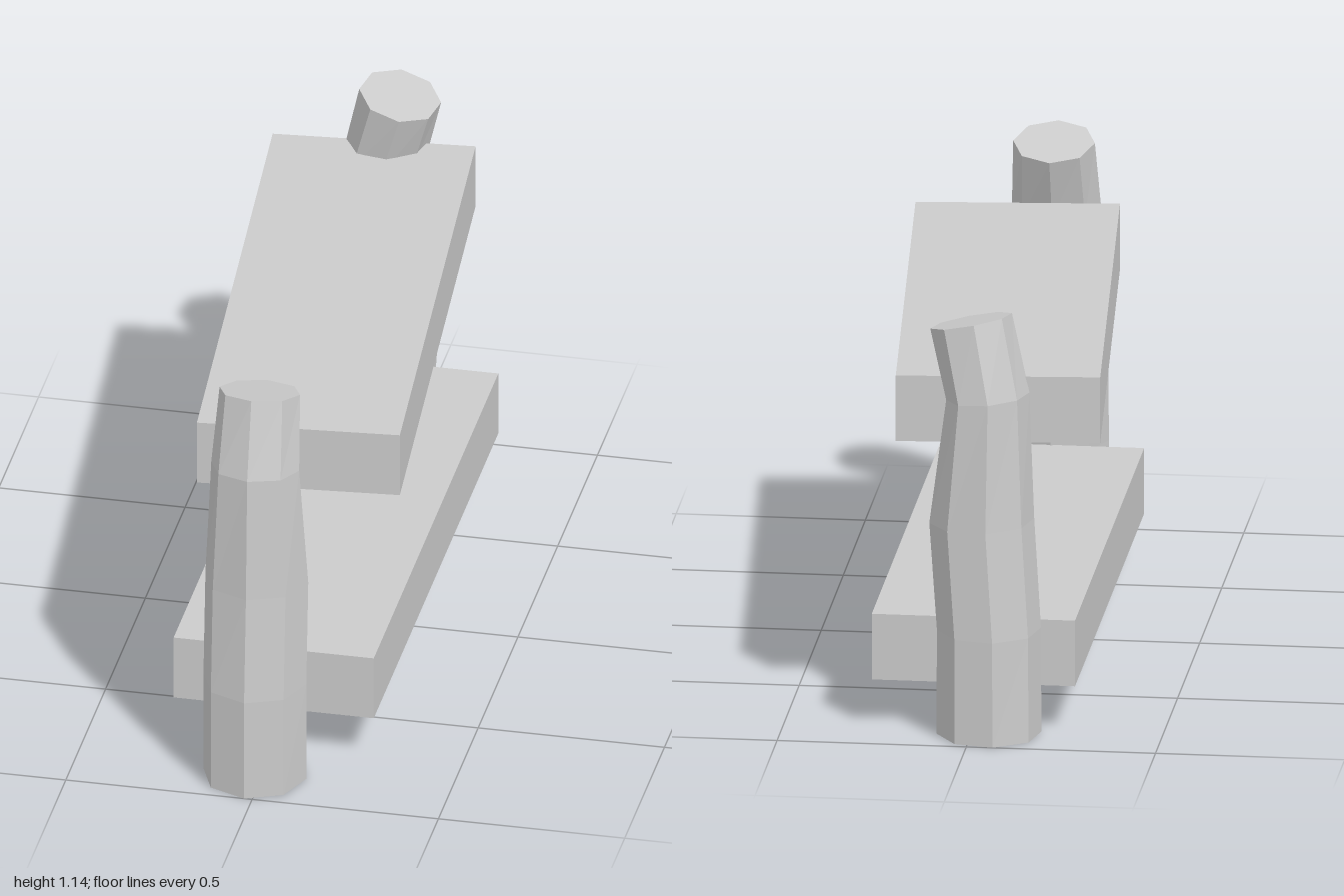
import * as THREE from 'three';

const SIDES = 8;

// Cross-sections of the bent post, bottom to top: height, z shift, x radius, z radius, slope
const RINGS = [
  [0, 0, 0.138, 0.138, 0],
  [0.285, 0, 0.138, 0.136, 0],
  [0.577, -0.025, 0.138, 0.138, 0.04],
  [0.922, -0.004, 0.118, 0.102, 0.08],
  [1.117, -0.062, 0.108, 0.107, 0.25],
];

// Eight-sided post, open underneath, with a slanted flat top
function postGeometry() {
  const positions = [];
  const index = [];
  for (const [y, shift, rx, rz, slope] of RINGS) {
    for (let i = 0; i < SIDES; i++) {
      const a = (i / SIDES) * Math.PI * 2;
      const dz = rz * Math.cos(a);
      positions.push(rx * Math.sin(a), y + slope * dz, shift + dz);
    }
  }
  for (let r = 0; r < RINGS.length - 1; r++) {
    for (let i = 0; i < SIDES; i++) {
      const a = r * SIDES + i;
      const b = r * SIDES + ((i + 1) % SIDES);
      index.push(a, b, b + SIDES, a, b + SIDES, a + SIDES);
    }
  }
  const top = (RINGS.length - 1) * SIDES;
  for (let i = 1; i < SIDES - 1; i++) index.push(top, top + i, top + i + 1);

  const geometry = new THREE.BufferGeometry();
  geometry.setAttribute('position', new THREE.Float32BufferAttribute(positions, 3));
  geometry.setIndex(index);
  geometry.computeVertexNormals();
  return geometry;
}

export function createModel() {
  const group = new THREE.Group();
  const material = new THREE.MeshStandardMaterial({ color: 0xcccccc, flatShading: true });
  const postMaterial = material.clone();
  postMaterial.side = THREE.DoubleSide;

  function add(name, geometry, mat, x, y, z, turn) {
    const mesh = new THREE.Mesh(geometry, mat);
    mesh.name = name;
    mesh.position.set(x, y, z);
    mesh.rotation.y = turn;
    group.add(mesh);
  }

  // Posts: the same bent log, turned differently at each end
  const post = postGeometry();
  add('frontPost', post, postMaterial, -0.022, 0, 0.862, 0);
  add('backPost', post, postMaterial, -0.044, 0, -0.864, THREE.MathUtils.degToRad(-124.5));

  // Planks: the upper one is slightly askew
  const plank = new THREE.BoxGeometry(0.537, 0.18, 1.567);
  add('lowerPlank', plank, material, 0, 0.217, -0.055, 0);
  add('upperPlank', plank, material, 0, 0.88, -0.058, 0.083);

  return group;
}
